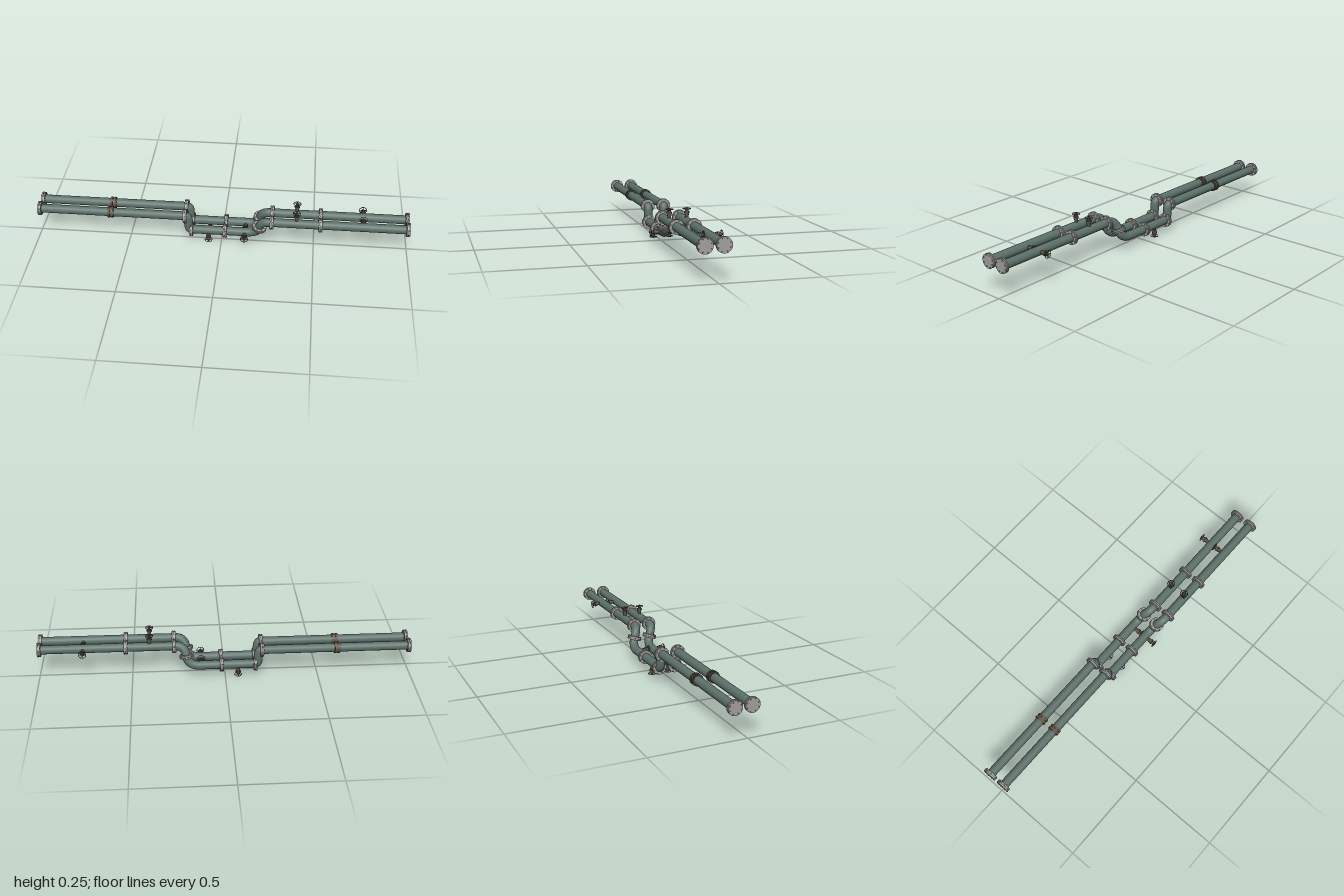
import * as THREE from 'three';

const pipeMat = new THREE.MeshStandardMaterial({ name: 'green pipe paint', color: 0x5c7069 });
const flangeMat = new THREE.MeshStandardMaterial({ name: 'pale steel', color: 0xa3a09e });
const boltMat = new THREE.MeshStandardMaterial({ name: 'bolt steel', color: 0x7c7a78 });
const brassMat = new THREE.MeshStandardMaterial({ name: 'aged brass', color: 0x5c5040 });
const wheelMat = new THREE.MeshStandardMaterial({ name: 'wheel iron', color: 0x5f6064 });

const R = 0.0235;      // pipe radius
const FLANGE_R = 0.038;
const UP = new THREE.Vector3(0, 1, 0);
const X = new THREE.Vector3(1, 0, 0);
const V = (x, y, z) => new THREE.Vector3(x, y, z);

function add(parent, name, geometry, material, y = 0) {
  const mesh = new THREE.Mesh(geometry, material);
  mesh.name = name;
  mesh.position.y = y;
  parent.add(mesh);
  return mesh;
}

// Group whose local y axis points along dir
function place(parent, name, pos, dir) {
  const g = new THREE.Group();
  g.name = name;
  g.position.copy(pos);
  g.quaternion.setFromUnitVectors(UP, dir.clone().normalize());
  parent.add(g);
  return g;
}

function straight(parent, name, x0, x1, y, z) {
  const g = place(parent, name, V((x0 + x1) / 2, y, z), X);
  add(g, name + 'Tube', new THREE.CylinderGeometry(R, R, x1 - x0, 28), pipeMat);
}

function bend(parent, name, curves) {
  const path = new THREE.CurvePath();
  curves.forEach((c) => path.add(new THREE.CubicBezierCurve3(...c)));
  add(parent, name, new THREE.TubeGeometry(path, 48, R, 28), pipeMat);
}

// Two bolted plates with a thin gasket between them
function flange(parent, name, pos, dir) {
  const g = place(parent, name, pos, dir);
  for (const s of [-1, 1]) {
    add(g, 'flangePlate', new THREE.CylinderGeometry(FLANGE_R, FLANGE_R, 0.007, 36), flangeMat, s * 0.0053);
  }
  add(g, 'gasket', new THREE.CylinderGeometry(0.033, 0.033, 0.006, 28), boltMat);
  for (let i = 0; i < 8; i++) {
    const a = ((i + 0.5) / 8) * Math.PI * 2;
    const bolt = add(g, 'bolt', new THREE.CylinderGeometry(0.0036, 0.0036, 0.0225, 6), boltMat);
    bolt.position.set(Math.cos(a) * 0.0315, 0, Math.sin(a) * 0.0315);
  }
}

// Threaded sleeve with two raised rims
function coupling(parent, pos) {
  const g = place(parent, 'coupling', pos, X);
  add(g, 'couplingSleeve', new THREE.CylinderGeometry(0.0275, 0.0275, 0.034, 28), brassMat);
  for (const s of [-1, 1]) {
    add(g, 'couplingRim', new THREE.CylinderGeometry(0.031, 0.031, 0.01, 28), brassMat, s * 0.009);
  }
}

// Small gate valve pointing away from the pipe centre
function valve(parent, name, pos, dir) {
  const g = place(parent, name, pos, dir);
  const stack = [ // radius, start, end, sides
    [0.009, 0.015, 0.036, 16], [0.0115, 0.033, 0.043, 6],
    [0.014, 0.043, 0.052, 20], [0.008, 0.052, 0.06, 16], [0.0095, 0.057, 0.062, 6],
  ];
  for (const [r, a, b, n] of stack) {
    add(g, 'valveBody', new THREE.CylinderGeometry(r, r, b - a, n), brassMat, (a + b) / 2);
  }
  add(g, 'valveStem', new THREE.CylinderGeometry(0.0045, 0.0045, 0.017, 12), wheelMat, 0.0645);
  const rim = add(g, 'handwheelRim', new THREE.TorusGeometry(0.0195, 0.0018, 8, 28), wheelMat, 0.066);
  rim.rotation.x = Math.PI / 2;
  for (let i = 0; i < 2; i++) {
    const spoke = add(g, 'handwheelSpoke', new THREE.BoxGeometry(0.038, 0.002, 0.004), wheelMat, 0.066);
    spoke.rotation.y = i * Math.PI / 2;
  }
}

function pipeline(name, z) {
  const g = new THREE.Group();
  g.name = name;
  g.position.z = z;
  const yL = 0.158, yM = 0.073, yR = 0.174, zR = 0.04;

  // Straight runs
  straight(g, 'upperRightRun', -0.99, -0.2, yL, 0);
  straight(g, 'lowerRun', -0.157, 0.14, yM, 0);
  straight(g, 'upperLeftRun', 0.265, 0.99, yR, zR);

  // Tight drop
  const drop = V(-0.178, (yL + yM) / 2, 0);
  bend(g, 'dropBend', [
    [V(-0.2, yL, 0), V(-0.186, yL, 0), V(-0.178, yL - 0.006, 0), drop],
    [drop, V(-0.178, yM + 0.006, 0), V(-0.17, yM, 0), V(-0.157, yM, 0)],
  ]);

  // Rising bend that also steps sideways
  const mid = V(0.207, 0.123, 0.016);
  const rise = V(0.004, 0.03, 0.009);
  bend(g, 'riserBend', [
    [V(0.14, yM, 0), V(0.18, yM, 0), mid.clone().sub(rise), mid],
    [mid, mid.clone().add(rise), V(0.225, yR, zR), V(0.265, yR, zR)],
  ]);

  // Flanged joints
  flange(g, 'endFlange', V(-0.9885, yL, 0), X);
  flange(g, 'dropTopFlange', V(-0.196, yL, 0), X);
  flange(g, 'dropBottomFlange', V(-0.162, yM, 0), X);
  flange(g, 'lowerFlange', V(0.02, yM, 0), X);
  flange(g, 'riserFlange', mid, rise);
  flange(g, 'riserTopFlange', V(0.272, yR, zR), X);
  flange(g, 'middleFlange', V(0.53, yR, zR), X);
  flange(g, 'endFlange', V(0.9885, yR, zR), X);
  coupling(g, V(-0.6, yL, 0));

  // Valves
  valve(g, 'drainValve', V(-0.07, yM, 0), V(0, -1, 0));
  valve(g, 'frontValve', V(0.128, yM, 0), V(0, 0, 1));
  valve(g, 'topValve', V(0.403, yR, zR), V(0, 1, 0));
  valve(g, 'rearValve', V(0.757, yR, zR), V(0, 0, -1));
  return g;
}

export function createModel() {
  const model = new THREE.Group();
  model.name = 'twinPipeline';
  model.add(pipeline('frontPipeline', 0.025), pipeline('rearPipeline', -0.065));
  return model;
}
